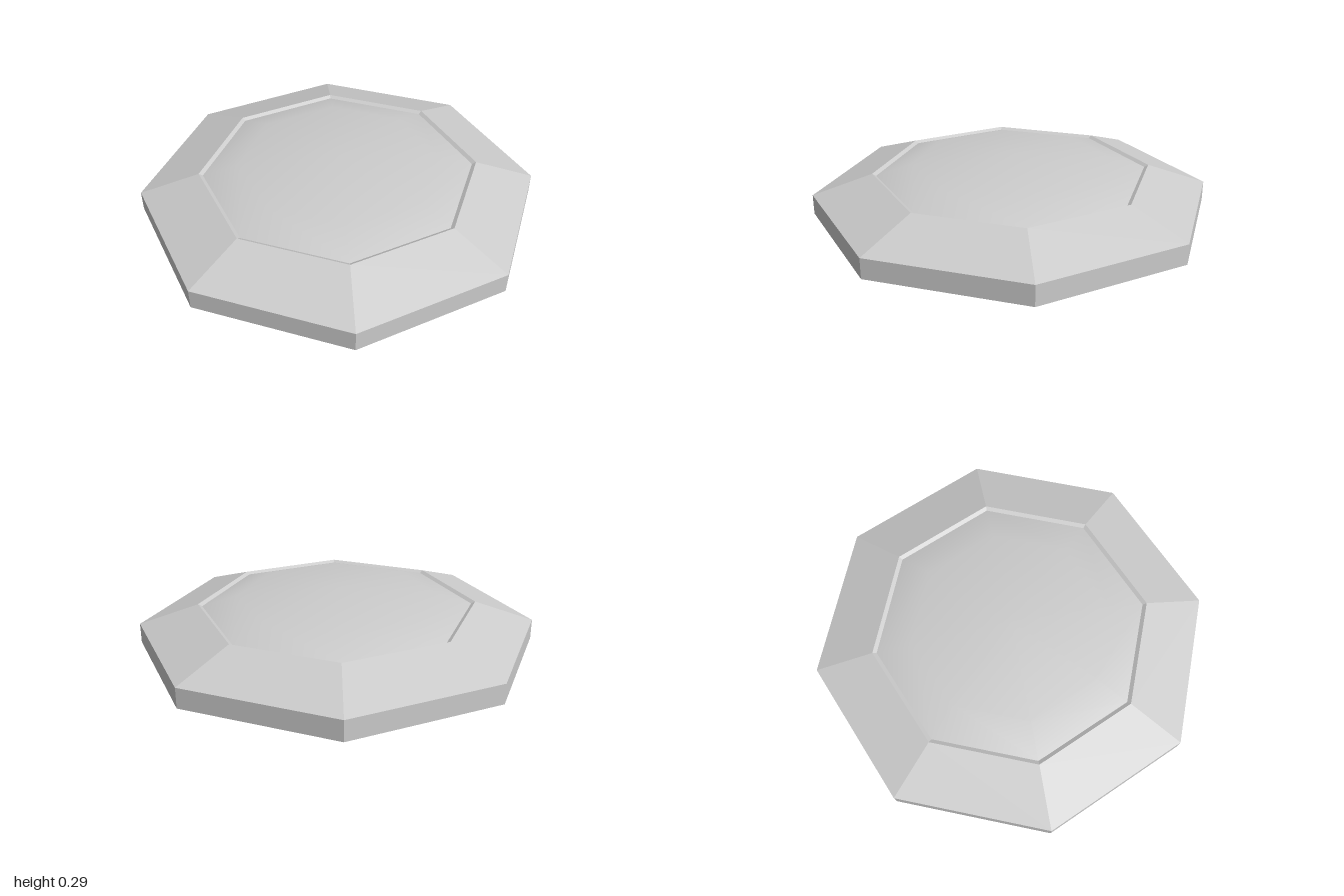
import * as THREE from 'three';

const SIDES = 8;

// Turns [radius, height] pairs into an eight-sided solid of revolution
function turned(name, profile, flatShading) {
  const points = profile.map(([r, y]) => new THREE.Vector2(r, y));
  const geometry = new THREE.LatheGeometry(points, SIDES);
  const material = new THREE.MeshStandardMaterial({ color: 0xcccccc, flatShading });
  const mesh = new THREE.Mesh(geometry, material);
  mesh.name = name;
  return mesh;
}

export function createModel() {
  const model = new THREE.Group();
  model.name = 'octagonalPlate';

  // Faceted base: flat underside, upright rim, sloping bevel and small inward lip
  model.add(turned('base', [[0, 0], [1, 0], [1, 0.1], [0.7, 0.204], [0.68, 0.193]], true));

  // Smooth shallow dome set inside the lip
  const dome = turned('dome', [[0.68, 0.193], [0.5, 0.25], [0, 0.293]], false);
  const { position, normal } = dome.geometry.attributes;
  for (let i = 0; i < position.count; i++) {
    // Shared upright normal at the apex
    if (Math.hypot(position.getX(i), position.getZ(i)) < 1e-6) normal.setXYZ(i, 0, 1, 0);
  }
  model.add(dome);

  return model;
}
